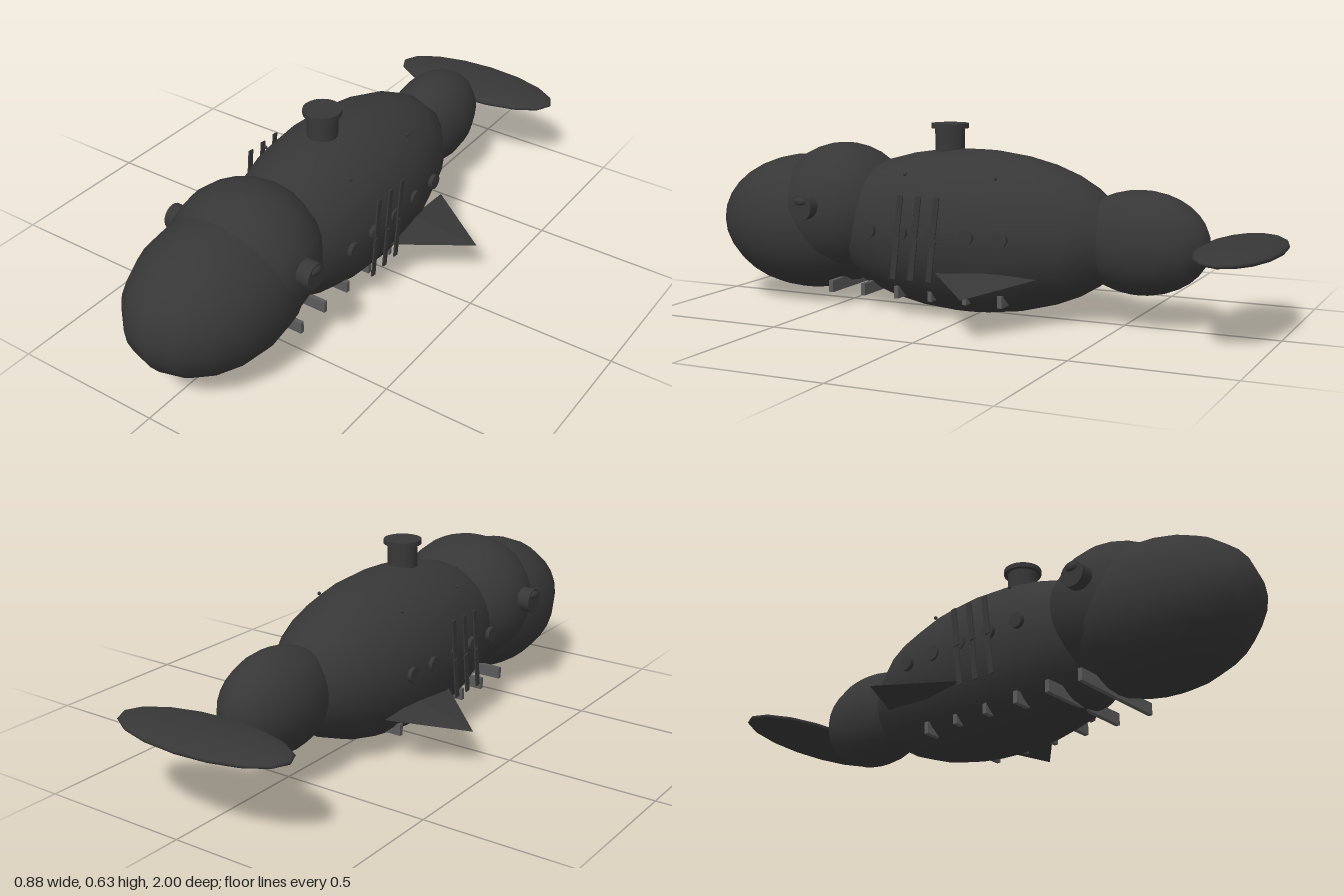
import * as THREE from 'three';

export function createModel() {
  const model = new THREE.Group();
  const hull = new THREE.MeshStandardMaterial({ color: 0x373737 });
  hull.name = 'charcoal';
  const steel = new THREE.MeshStandardMaterial({ color: 0x5a5a5a });
  steel.name = 'steel grey';

  const add = (name, geometry, x, y, z, material = hull) => {
    const mesh = new THREE.Mesh(geometry, material);
    mesh.name = name;
    mesh.position.set(x, y, z);
    model.add(mesh);
    return mesh;
  };
  const ellipsoid = (name, y, z, rx, ry, rz) =>
    add(name, new THREE.SphereGeometry(1, 16, 16).scale(rx, ry, rz), 0, y, z);
  const disc = (r, depth, sides = 16) =>
    new THREE.CylinderGeometry(r, r, depth, sides).rotateZ(Math.PI / 2);

  // Hull sections, nose to tail
  ellipsoid('nose', 0.27, 0.66, 0.24, 0.235, 0.34);
  ellipsoid('brow', 0.32, 0.53, 0.243, 0.23, 0.235);
  ellipsoid('body', 0.274, 0.04, 0.25, 0.272, 0.55);
  ellipsoid('tailStalk', 0.272, -0.55, 0.135, 0.167, 0.225);
  ellipsoid('tailFluke', 0.272, -0.87, 0.317, 0.027, 0.13);

  // Top hatch
  add('hatchTower', new THREE.CylinderGeometry(0.05, 0.05, 0.12, 20), 0, 0.56, 0.122);
  add('hatchCap', new THREE.CylinderGeometry(0.063, 0.063, 0.016, 20), 0, 0.62, 0.122);

  // Cross bars beneath the hull
  for (let i = 0; i < 6; i++) {
    add('keelBar', new THREE.BoxGeometry(0.355, 0.04, 0.015), 0, 0.077, 0.485 - i * 0.125, steel);
  }

  // Swept pyramid fin running from the hull to a tip
  const finGeometry = (side) => {
    const g = new THREE.ConeGeometry(1, 1, 4, 1).toNonIndexed();
    const p = g.attributes.position;
    for (let i = 0; i < p.count; i++) {
      const t = p.getY(i) + 0.5;
      const thick = p.getX(i) * 0.01 * side;
      p.setXYZ(i, side * (0.21 + 0.23 * t), 0.167 - 0.035 * t + thick * -1, -0.1 - 0.03 * t + p.getZ(i) * 0.18);
    }
    g.computeVertexNormals();
    return g;
  };

  for (const side of [-1, 1]) {
    add('sideFin', finGeometry(side), 0, 0, 0);

    // Eyes
    add('eye', disc(0.042, 0.045, 20), side * 0.2525, 0.352, 0.54);
    add('eyeLens', new THREE.SphereGeometry(1, 12, 8).scale(0.011, 0.014, 0.024), side * 0.273, 0.374, 0.54);

    // Portholes along the flank
    for (let i = 0; i < 5; i++) {
      add('porthole', disc(0.025, 0.014), side * 0.243, 0.29, 0.3 - i * 0.1175);
    }

    // Two rows of slanted gill slats
    for (let i = 0; i < 3; i++) {
      for (const [y, dz] of [[0.345, 0], [0.205, 0.015]]) {
        const slat = add('gillSlat', new THREE.BoxGeometry(0.005, 0.135, 0.02), side * 0.253, y, 0.182 - i * 0.065 + dz);
        slat.rotation.x = -0.12;
      }
    }

    // Rivets
    for (const z of [0.205, -0.12]) {
      add('rivet', new THREE.SphereGeometry(0.006, 8, 6), side * 0.165, 0.47, z);
    }
  }
  return model;
}
